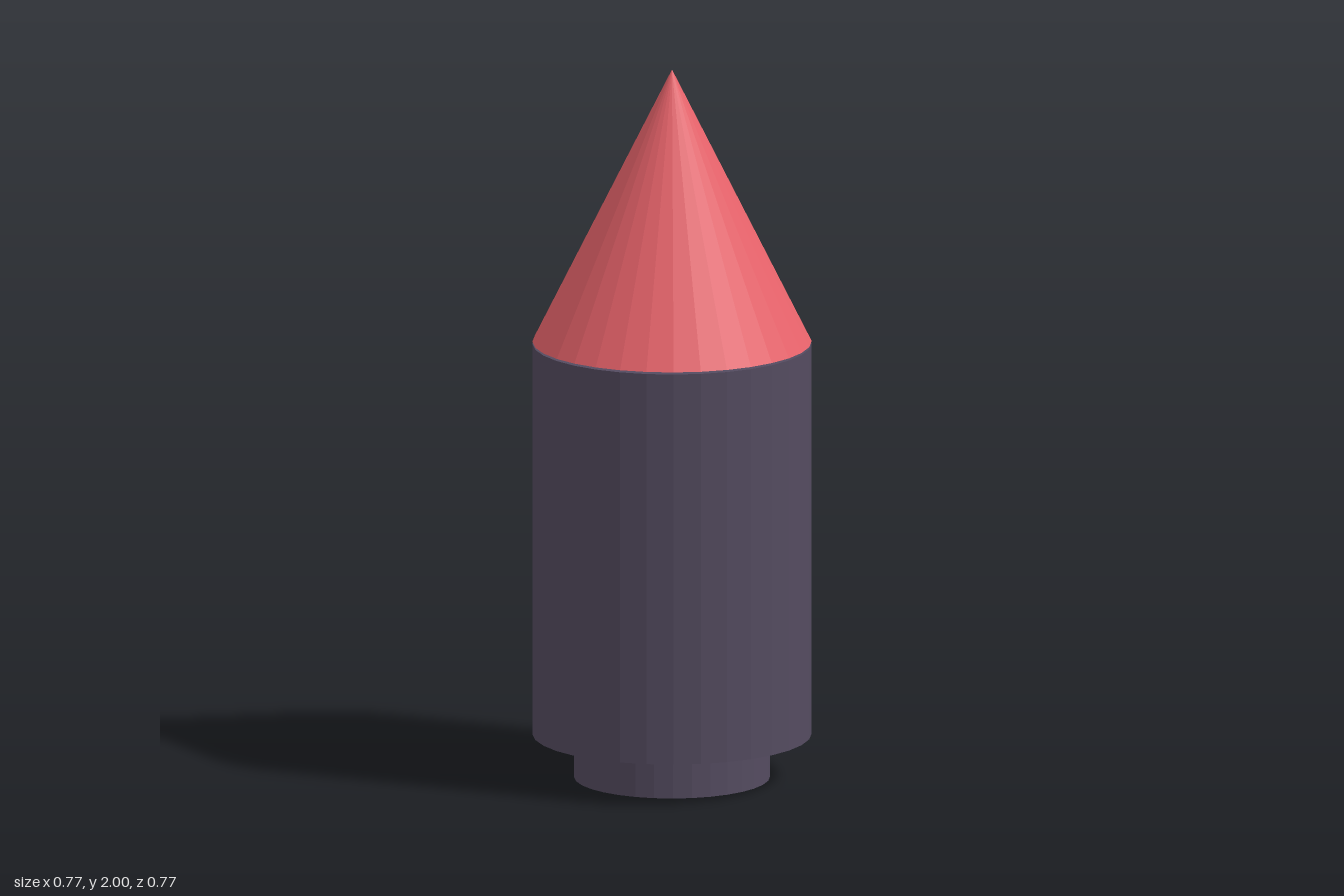
import * as THREE from 'three';

const SIDES = 32;

export function createModel() {
  const model = new THREE.Group();
  const dark = new THREE.MeshStandardMaterial({ color: 0x544b60, flatShading: true });
  const red = new THREE.MeshStandardMaterial({ color: 0xe8636b, flatShading: true });

  // Capped round section standing between two heights
  function addSection(name, topRadius, bottomRadius, y0, y1, material) {
    const geometry = new THREE.CylinderGeometry(topRadius, bottomRadius, y1 - y0, SIDES);
    const mesh = new THREE.Mesh(geometry, material);
    mesh.name = name;
    mesh.position.y = (y0 + y1) / 2;
    model.add(mesh);
  }

  addSection('base', 0.27, 0.27, 0, 0.122, dark);
  addSection('body', 0.385, 0.385, 0.122, 1.225, dark);
  // The nose sits a hairline above the body
  addSection('noseCone', 0, 0.385, 1.231, 2, red);

  return model;
}
